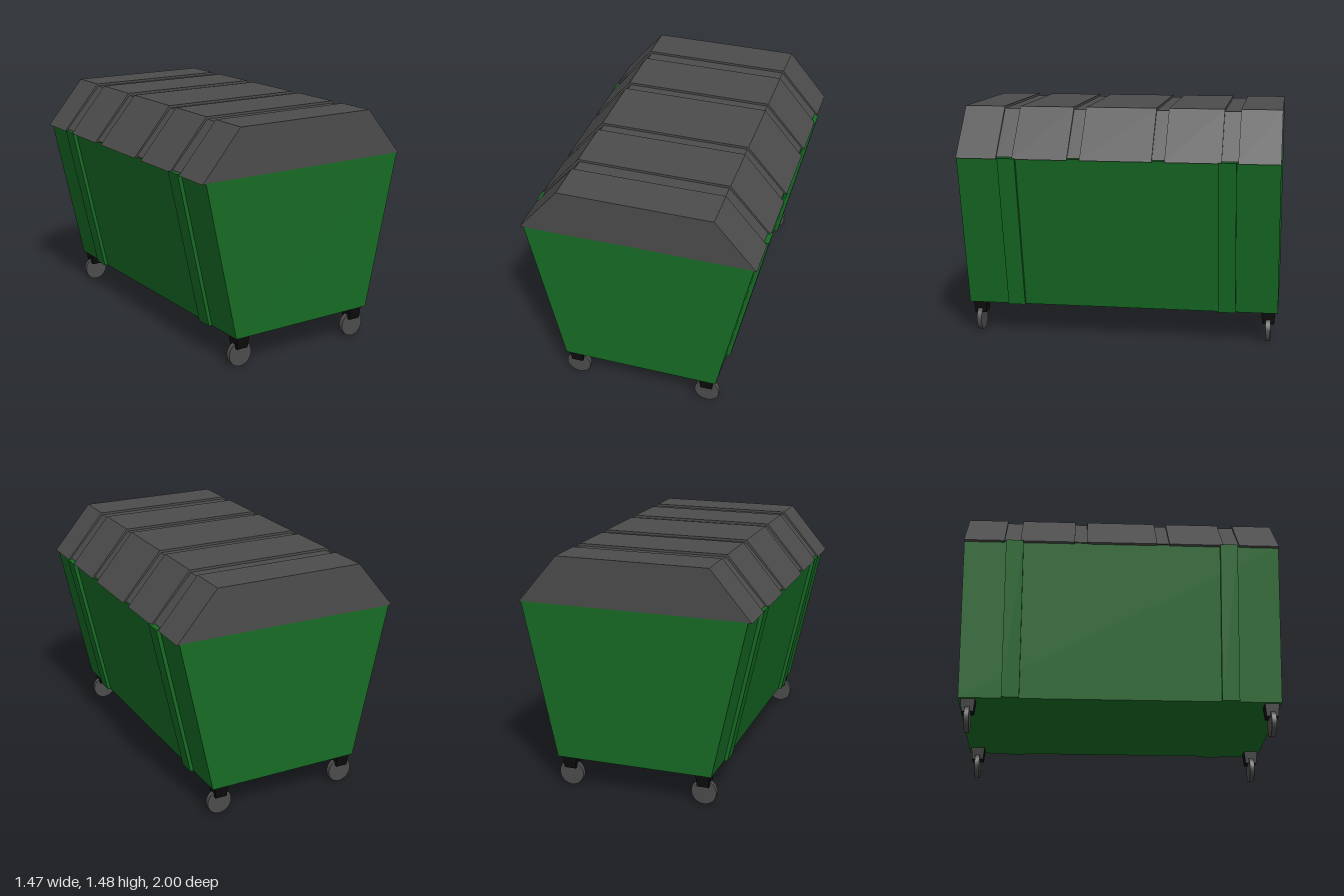
import * as THREE from 'three';

const green = new THREE.MeshStandardMaterial({ color: 0x176b24, flatShading: true });
const darkGrey = new THREE.MeshStandardMaterial({ color: 0x4c4c4c, flatShading: true });
const wheelGrey = new THREE.MeshStandardMaterial({ color: 0x4c4c4c });
const black = new THREE.MeshStandardMaterial({ color: 0x0c0c0c, flatShading: true });

// Extrudes an x-y outline from z0 to z1
function prism(points, z0, z1) {
  const shape = new THREE.Shape(points.map(([x, y]) => new THREE.Vector2(x, y)));
  const geometry = new THREE.ExtrudeGeometry(shape, { depth: z1 - z0, bevelEnabled: false });
  return geometry.translate(0, 0, z0);
}

// Symmetric trapezoid outline, optionally shifted in x
const trapezoid = (bottom, y0, top, y1, dx = 0) =>
  [[dx - bottom, y0], [dx + bottom, y0], [dx + top, y1], [dx - top, y1]];

export function createModel() {
  const model = new THREE.Group();
  const add = (name, geometry, material, parent = model) => {
    const mesh = new THREE.Mesh(geometry, material);
    mesh.name = name;
    parent.add(mesh);
    return mesh;
  };

  // Tapered container
  add('container', prism(trapezoid(0.5, 0.2, 0.712, 1.185), -1, 1), green);

  // Upright ribs on both long sides
  for (const side of [-1, 1]) {
    for (const z of [-0.68, 0.68]) {
      const outline = [[0.49, 0.2], [0.522, 0.2], [0.736, 1.185], [0.7, 1.185]]
        .map(([x, y]) => [x * side, y]);
      add('sideRib', prism(outline, z - 0.055, z + 0.055), green);
    }
  }

  // Lid: raised panels alternating with shallow grooves
  const lid = new THREE.Group();
  lid.name = 'lid';
  model.add(lid);
  const cuts = [-1, -0.745, -0.645, -0.3, -0.222, 0.222, 0.3, 0.645, 0.745, 1];
  for (let i = 0; i < cuts.length - 1; i++) {
    const raised = i % 2 === 0;
    const outline = raised
      ? trapezoid(0.731, 1.18, 0.475, 1.482, -0.004)
      : trapezoid(0.711, 1.19, 0.468, 1.467, -0.004);
    add(raised ? 'lidPanel' : 'lidGroove', prism(outline, cuts[i], cuts[i + 1]), darkGrey, lid);
  }

  // Casters at the four corners
  const bracket = new THREE.CylinderGeometry(0.045 * Math.SQRT2, 0.037 * Math.SQRT2, 0.08, 4)
    .rotateY(Math.PI / 4);
  const wheel = new THREE.CylinderGeometry(0.08, 0.08, 0.03, 32).rotateX(Math.PI / 2);
  for (const x of [-0.44, 0.432]) {
    for (const z of [-0.94, 0.94]) {
      const caster = new THREE.Group();
      caster.name = 'caster';
      caster.position.set(x, 0, z);
      model.add(caster);
      add('casterBracket', bracket, black, caster).position.y = 0.16;
      add('casterWheel', wheel, wheelGrey, caster).position.y = 0.08;
    }
  }
  return model;
}
